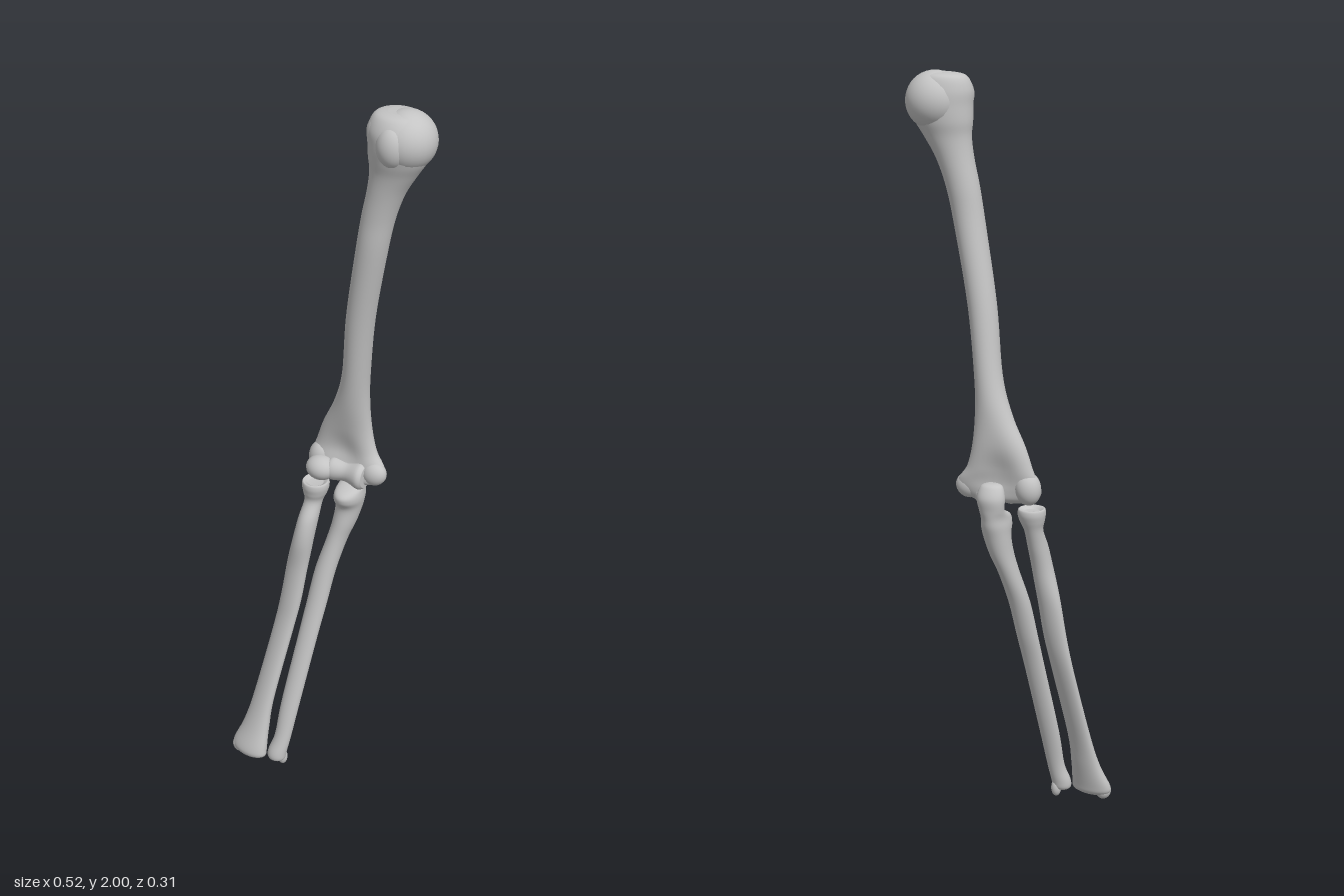
import * as THREE from 'three';

const bone = new THREE.MeshStandardMaterial({ color: 0xc4c4c4 });
bone.name = 'bone grey';

function add(group, name, geometry) {
  const mesh = new THREE.Mesh(geometry, bone);
  mesh.name = name;
  group.add(mesh);
  return mesh;
}

// Smooth value between b and c (Catmull-Rom)
function blend(a, b, c, d, t) {
  return b + 0.5 * t * (c - a + t * (2 * a - 5 * b + 4 * c - d + t * (3 * (b - c) + d - a)));
}

// Closed skin over sections listed from top to bottom:
// [x, y, z, half width, half depth, turn, dent on front and back]
function loft(sections, sides = 32, steps = 6) {
  const n = sections.length;
  const at = (i) => sections[Math.max(0, Math.min(n - 1, i))];
  const rows = [];
  for (let i = 0; i < n - 1; i++) {
    for (let s = 0; s < steps; s++) {
      rows.push([0, 1, 2, 3, 4, 5, 6].map((k) =>
        blend(...[-1, 0, 1, 2].map((o) => at(i + o)[k] ?? 0), s / steps)));
    }
  }
  rows.push(at(n - 1));
  const points = [], index = [];
  for (const [x, y, z, rx, rz, turn = 0, dent = 0] of rows) {
    for (let j = 0; j < sides; j++) {
      const a = (j / sides) * Math.PI * 2;
      const u = Math.max(rx, 0.003) * Math.cos(a);
      const v = Math.max(rz, 0.003) * Math.sin(a) * (1 - dent * Math.sin(a) ** 6);
      points.push(x + u * Math.cos(turn) - v * Math.sin(turn), y, z + u * Math.sin(turn) + v * Math.cos(turn));
    }
  }
  const top = rows.length * sides;
  points.push(...at(0).slice(0, 3), ...at(n - 1).slice(0, 3));
  for (let j = 0; j < sides; j++) {
    const k = (j + 1) % sides, last = top - sides;
    for (let i = 0; i < last; i += sides) {
      index.push(i + j, i + k, i + sides + j, i + k, i + sides + k, i + sides + j);
    }
    index.push(top, k, j, top + 1, last + j, last + k);
  }
  const g = new THREE.BufferGeometry();
  g.setAttribute('position', new THREE.Float32BufferAttribute(points, 3));
  g.setIndex(index);
  g.computeVertexNormals();
  return g;
}

// Rounded knob
function knob(group, name, [x, y, z], [rx, ry, rz], tilt = 0) {
  const mesh = add(group, name, new THREE.SphereGeometry(1, 28, 20).scale(rx, ry, rz));
  mesh.position.set(x, y, z);
  mesh.rotation.z = tilt;
}

function part(parent, name) {
  const g = new THREE.Group();
  g.name = name;
  parent.add(g);
  return g;
}

export function createModel() {
  const model = new THREE.Group();
  model.name = 'armBones';

  // Upper arm bone
  const humerus = part(model, 'humerus');
  add(humerus, 'humerusShaft', loft([
    [0.165, 1.993, -0.040, 0.030, 0.025],
    [0.160, 1.984, -0.038, 0.060, 0.050],
    [0.164, 1.950, -0.034, 0.080, 0.066],
    [0.167, 1.910, -0.034, 0.083, 0.068],
    [0.161, 1.870, -0.036, 0.077, 0.062],
    [0.150, 1.830, -0.036, 0.063, 0.052],
    [0.131, 1.775, -0.035, 0.050, 0.046],
    [0.110, 1.700, -0.034, 0.044, 0.043],
    [0.091, 1.600, -0.034, 0.041, 0.042],
    [0.053, 1.400, -0.050, 0.038, 0.041],
    [0.030, 1.220, -0.069, 0.037, 0.040],
    [0.012, 1.120, -0.080, 0.050, 0.038],
    [-0.005, 1.040, -0.088, 0.072, 0.036, 0, 0.15],
    [-0.008, 0.980, -0.088, 0.090, 0.034, 0, 0.5],
    [-0.002, 0.945, -0.083, 0.108, 0.034, 0, 0.5],
    [0.000, 0.920, -0.078, 0.112, 0.033, 0, 0.3],
    [-0.004, 0.897, -0.073, 0.096, 0.029, 0, 0.1],
    [-0.006, 0.885, -0.071, 0.075, 0.015],
  ]));
  knob(humerus, 'humerusHead', [0.182, 1.921, -0.042], [0.077, 0.077, 0.077]);
  knob(humerus, 'greaterTubercle', [0.128, 1.938, -0.030], [0.045, 0.052, 0.050], -0.15);
  knob(humerus, 'lesserTubercle', [0.168, 1.918, 0.008], [0.042, 0.055, 0.038]);
  knob(humerus, 'medialEpicondyle', [0.082, 0.922, -0.075], [0.036, 0.033, 0.027], 0.4);
  knob(humerus, 'lateralEpicondyle', [-0.083, 0.928, -0.083], [0.035, 0.045, 0.034], -0.15);
  knob(humerus, 'capitulum', [-0.066, 0.911, -0.05], [0.042, 0.034, 0.038]);

  // Grooved spool of the elbow joint
  const spool = [[0.026, -0.055], [0.033, -0.04], [0.027, 0], [0.038, 0.04], [0.03, 0.055]];
  const curve = new THREE.SplineCurve(spool.map((p) => new THREE.Vector2(...p)));
  const profile = [new THREE.Vector2(0, -0.055), ...curve.getPoints(20), new THREE.Vector2(0, 0.055)];
  const trochlea = add(humerus, 'trochlea', new THREE.LatheGeometry(profile, 28));
  trochlea.rotation.z = -Math.PI / 2;
  trochlea.position.set(0.008, 0.911, -0.064);

  // Outer forearm bone, with a disc-shaped head
  const radius = part(model, 'radius');
  add(radius, 'radiusShaft', loft([
    [-0.083, 0.858, -0.05, 0.020, 0.021],
    [-0.083, 0.866, -0.05, 0.034, 0.036],
    [-0.083, 0.852, -0.05, 0.037, 0.039],
    [-0.084, 0.832, -0.049, 0.033, 0.034],
    [-0.087, 0.805, -0.045, 0.025, 0.027],
    [-0.092, 0.755, -0.024, 0.027, 0.032],
    [-0.101, 0.690, -0.010, 0.029, 0.029],
    [-0.118, 0.600, -0.006, 0.033, 0.022, 0.2],
    [-0.131, 0.500, 0.006, 0.035, 0.020, 0.3],
    [-0.147, 0.400, 0.025, 0.036, 0.019, 0.4],
    [-0.177, 0.200, 0.080, 0.038, 0.021, 0.45],
    [-0.189, 0.110, 0.104, 0.045, 0.026, 0.35],
    [-0.200, 0.050, 0.121, 0.057, 0.031, 0.25],
    [-0.201, 0.028, 0.125, 0.056, 0.029, 0.22],
    [-0.202, 0.018, 0.127, 0.038, 0.019, 0.22],
  ]));
  knob(radius, 'radiusStyloid', [-0.236, 0.030, 0.120], [0.021, 0.024, 0.020], 0.2);

  // Inner forearm bone, hooked around the elbow
  const ulna = part(model, 'ulna');
  add(ulna, 'ulnaShaft', loft([
    [0.006, 0.942, -0.112, 0.014, 0.010],
    [0.006, 0.934, -0.114, 0.030, 0.023],
    [0.006, 0.905, -0.121, 0.038, 0.030],
    [0.004, 0.872, -0.119, 0.034, 0.029],
    [0.003, 0.848, -0.090, 0.037, 0.055],
    [0.002, 0.825, -0.086, 0.039, 0.056],
    [-0.001, 0.795, -0.090, 0.036, 0.043],
    [-0.010, 0.745, -0.080, 0.032, 0.038],
    [-0.025, 0.690, -0.065, 0.028, 0.033],
    [-0.045, 0.600, -0.037, 0.029, 0.027],
    [-0.058, 0.500, -0.010, 0.029, 0.023],
    [-0.070, 0.400, 0.020, 0.028, 0.020],
    [-0.094, 0.200, 0.076, 0.027, 0.020],
    [-0.104, 0.100, 0.102, 0.024, 0.020],
    [-0.115, 0.050, 0.115, 0.027, 0.024],
    [-0.117, 0.028, 0.118, 0.025, 0.022],
    [-0.117, 0.020, 0.118, 0.014, 0.012],
  ]));
  knob(ulna, 'ulnaStyloid', [-0.104, 0.026, 0.107], [0.014, 0.024, 0.014]);

  return model;
}
